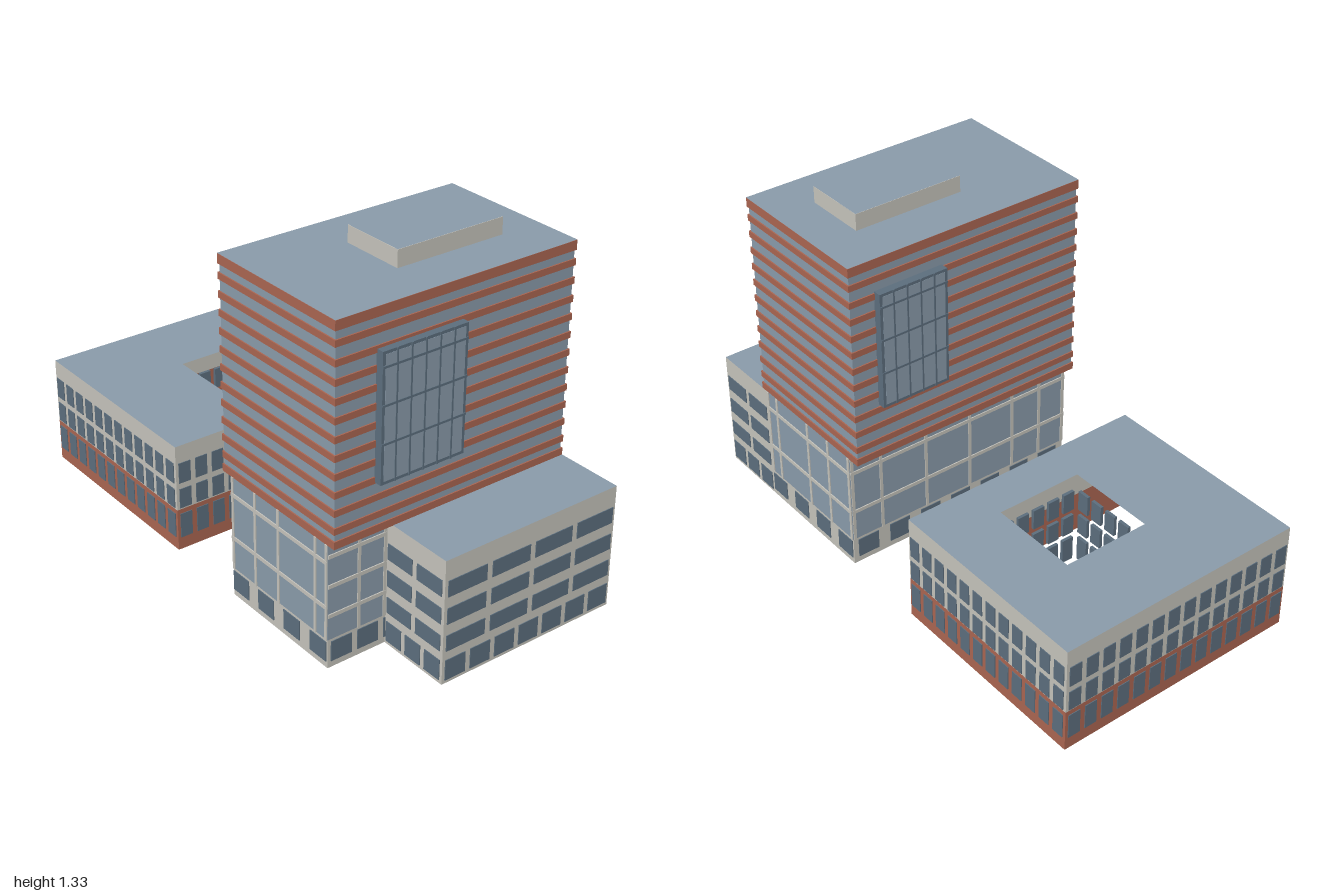
import * as THREE from 'three';

const mat = (name, color, side = THREE.DoubleSide) => {
  const m = new THREE.MeshStandardMaterial({ color, side });
  m.name = name;
  return m;
};

export function createModel() {
  const brick = mat('brick', 0xa86450);
  const stone = mat('stone', 0xc3c1b9);
  const glass = mat('paleGlass', 0x8899a8);
  const dark = mat('darkGlass', 0x5b6d7c);

  const model = new THREE.Group();
  model.name = 'buildingComplex';

  const group = (parent, name) => {
    const g = new THREE.Group();
    g.name = name;
    parent.add(g);
    return g;
  };

  // Box given by its limits on each axis
  const box = (parent, name, m, x0, x1, y0, y1, z0, z1) => {
    const mesh = new THREE.Mesh(new THREE.BoxGeometry(x1 - x0, y1 - y0, z1 - z0), m);
    mesh.position.set((x0 + x1) / 2, (y0 + y1) / 2, (z0 + z1) / 2);
    mesh.name = name;
    parent.add(mesh);
    return mesh;
  };

  // Facade frame: x runs left to right seen from outside, z points outward
  const facade = (parent, name, x0, z0, x1, z1) => {
    const f = group(parent, name);
    f.position.set(x0, 0, z0);
    f.rotation.y = Math.atan2(z0 - z1, x1 - x0);
    f.userData.width = Math.hypot(x1 - x0, z1 - z0);
    return f;
  };
  const wall = (f, name, m, y0, y1) => {
    const w = f.userData.width;
    const mesh = new THREE.Mesh(new THREE.PlaneGeometry(w, y1 - y0), m);
    mesh.position.set(w / 2, (y0 + y1) / 2, 0);
    mesh.name = name;
    f.add(mesh);
  };
  const plate = (f, name, m, u0, u1, y0, y1, z0 = 0.001, z1 = 0.004) =>
    box(f, name, m, u0, u1, y0, y1, z0, z1);

  // Row of evenly spaced windows
  const windowRow = (f, count, y0, y1, gap, z0, z1) => {
    const cell = f.userData.width / count;
    for (let i = 0; i < count; i++)
      plate(f, 'window', dark, i * cell + gap / 2, (i + 1) * cell - gap / 2, y0, y1, z0, z1);
  };

  // Flat roof with an optional rectangular opening
  const roof = (parent, name, x0, x1, z0, z1, y, hole) => {
    const rect = (C, a, b, c, d) =>
      new C([[a, -d], [b, -d], [b, -c], [a, -c]].map(([p, q]) => new THREE.Vector2(p, q)));
    const shape = rect(THREE.Shape, x0, x1, z0, z1);
    if (hole) shape.holes.push(rect(THREE.Path, ...hole));
    const mesh = new THREE.Mesh(new THREE.ShapeGeometry(shape), glass);
    mesh.rotation.x = -Math.PI / 2;
    mesh.position.y = y;
    mesh.name = name;
    parent.add(mesh);
  };

  // Tower with brick bands
  const tower = group(model, 'tower');
  box(tower, 'towerCore', glass, -0.486, 0.486, 0.475, 1.266, 0.134, 0.736);
  const band = (y0, y1) => box(tower, 'brickBand', brick, -0.491, 0.491, y0, y1, 0.129, 0.741);
  band(0.472, 0.5);
  for (let i = 0; i < 11; i++) band(0.525 + i * 0.0655, 0.549 + i * 0.0655);
  band(1.234, 1.269);
  roof(tower, 'towerRoof', -0.491, 0.491, 0.129, 0.741, 1.27);
  box(tower, 'roofHouse', stone, -0.112, 0.326, 1.27, 1.333, 0.315, 0.565);
  roof(tower, 'roofHouseTop', -0.112, 0.326, 0.315, 0.565, 1.334);

  // Projecting bay windows: dark body, pale panes and dark mullions
  const bay = (f, u0, u1, y0, y1, columns) => {
    plate(f, 'bayBody', dark, u0, u1, y0, y1, -0.004, 0.027);
    plate(f, 'bayGlass', glass, u0 + 0.011, u1 - 0.011, y0 + 0.011, y1 - 0.011, 0.024, 0.028);
    const h = y1 - y0;
    for (let i = 1; i < columns; i++) {
      const u = u0 + (u1 - u0) * i / columns;
      plate(f, 'mullion', dark, u - 0.003, u + 0.003, y0, y1, 0.025, 0.03);
    }
    for (const t of [0.31, 0.6, 0.885])
      plate(f, 'transom', dark, u0, u1, y0 + h * t - 0.004, y0 + h * t + 0.004, 0.025, 0.03);
  };
  bay(facade(tower, 'frontBay', -0.491, 0.741, 0.491, 0.741), 0.161, 0.503, 0.66, 1.128, 6);
  bay(facade(tower, 'backBay', 0.491, 0.129, -0.491, 0.129), 0.103, 0.383, 0.69, 1.145, 5);

  // Glazed base under the tower
  const base = group(model, 'glazedBase');
  const glazed = (f, cols, rows, starts, w) => {
    wall(f, 'plinth', stone, 0, 0.11);
    wall(f, 'glazing', glass, 0.11, 0.474);
    const W = f.userData.width;
    for (const u of cols) plate(f, 'mullion', stone, u - 0.006, u + 0.006, 0.11, 0.474);
    for (const y of rows) plate(f, 'transom', stone, 0, W, y - 0.007, y + 0.007, 0.001, 0.005);
    for (const u of starts) plate(f, 'window', dark, u, Math.min(u + w, W), 0.025, 0.102);
  };
  const steps = (n, first, step) => Array.from({ length: n }, (_, i) => first + i * step);
  const sideCols = [0.007, 0.065, 0.265, 0.395, 0.523];
  glazed(facade(base, 'notchFront', -0.491, 0.71, -0.253, 0.71),
    [0.125, 0.232], [0.204, 0.317, 0.43], [0.012, 0.121, 0.23], 0.085);
  glazed(facade(base, 'sideLeft', 0.491, 0.71, 0.491, 0.18),
    sideCols, [0.235, 0.406], steps(4, 0.005, 0.144), 0.088);
  glazed(facade(base, 'sideRight', -0.491, 0.18, -0.491, 0.71),
    sideCols.map(u => 0.53 - u), [0.235, 0.406], steps(4, 0.005, 0.144), 0.088);
  glazed(facade(base, 'backFace', 0.491, 0.18, -0.491, 0.18),
    [0.007, 0.13, 0.33, 0.53, 0.73, 0.86, 0.975], [0.235, 0.406], steps(7, 0.02, 0.14), 0.088);
  wall(facade(base, 'innerPartition', -0.253, 0.71, 0.491, 0.71), 'partition', glass, 0, 0.474);

  // Low front block
  const front = group(model, 'frontBlock');
  const lowFace = (name, x0, z0, x1, z1, upper, ground) => {
    const f = facade(front, name, x0, z0, x1, z1);
    wall(f, 'wall', stone, 0, 0.473);
    for (const y of [0.127, 0.231, 0.335]) windowRow(f, upper, y, y + 0.061, 0.023);
    windowRow(f, ground, 0.014, 0.092, 0.021);
  };
  lowFace('frontFace', -0.253, 1, 0.491, 1, 4, 7);
  lowFace('leftFace', 0.491, 1, 0.491, 0.71, 2, 3);
  lowFace('rightFace', -0.253, 0.71, -0.253, 1, 2, 3);
  roof(front, 'frontRoof', -0.253, 0.491, 0.71, 1, 0.473);

  // Courtyard building behind
  const court = group(model, 'courtyardBuilding');
  const rows = [[0.05, 0.148], [0.172, 0.25], [0.274, 0.355]];
  const ring = (x0, x1, z0, z1, fn) => {
    fn(x0, z1, x1, z1);
    fn(x1, z1, x1, z0);
    fn(x1, z0, x0, z0);
    fn(x0, z0, x0, z1);
  };
  ring(-0.491, 0.491, -1, -0.168, (...p) => {
    const f = facade(court, 'outerFace', ...p);
    wall(f, 'brickBase', brick, 0, 0.165);
    wall(f, 'upperWall', stone, 0.165, 0.424);
    const n = Math.round(f.userData.width / 0.07);
    for (const [a, b] of rows) windowRow(f, n, a, b, 0.021);
  });
  // Free-standing window panels around the open court
  ring(-0.12, 0.222, -0.682, -0.332, (...p) => {
    const f = facade(court, 'courtFace', ...p);
    for (const [a, b] of rows) windowRow(f, 5, a, b, 0.021, 0, 0.012);
  });
  roof(court, 'courtRoof', -0.491, 0.491, -1, -0.168, 0.424, [-0.12, 0.222, -0.682, -0.332]);

  return model;
}
